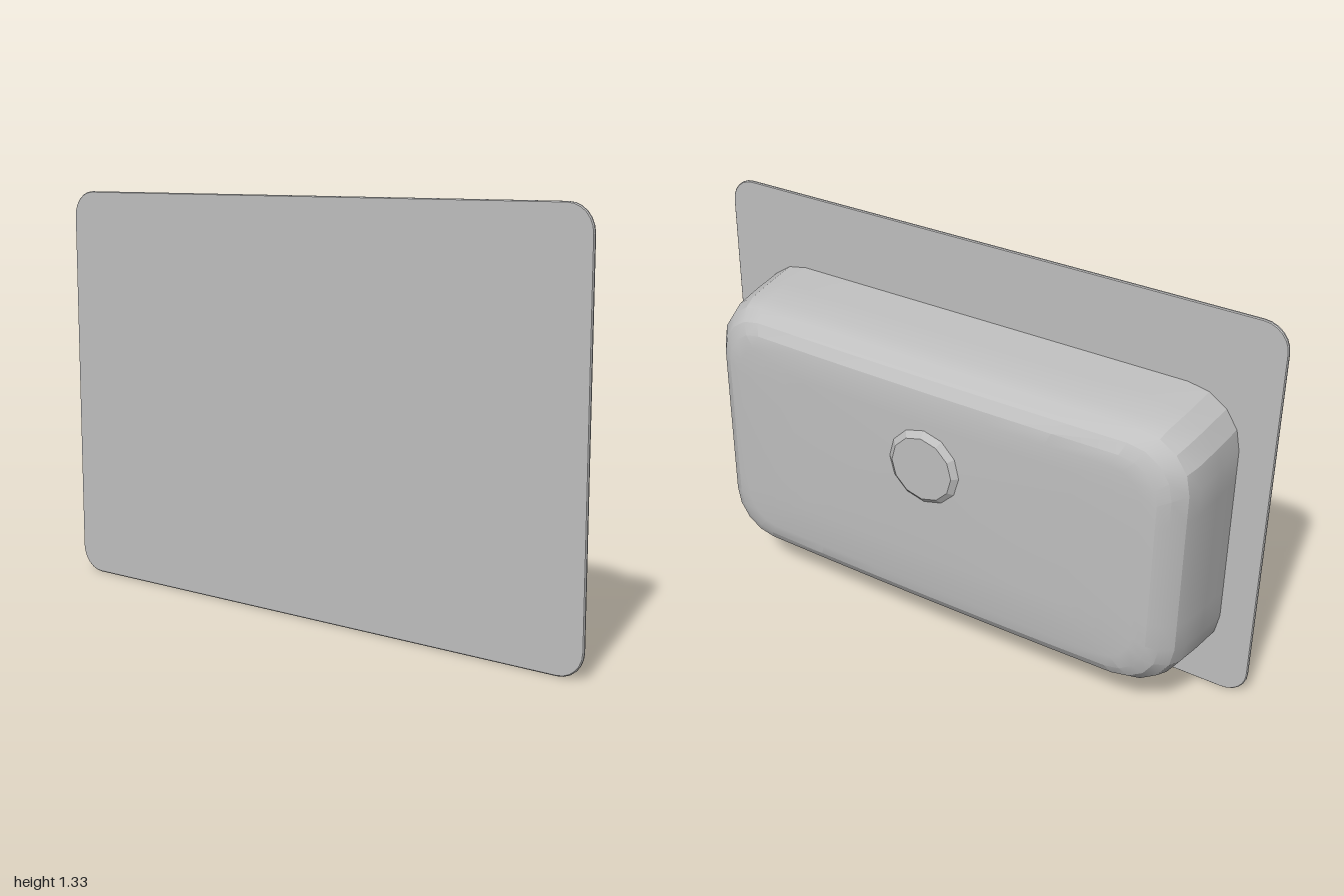
import * as THREE from 'three';
import { toCreasedNormals } from 'three/addons/utils/BufferGeometryUtils.js';

const steel = new THREE.MeshStandardMaterial({ color: 0xbfbfbf });
steel.name = 'steel';

const CY = 0.585;      // basin centre height
const DRAIN_Y = 0.71;  // drain centre height

// Points of a rounded rectangle, counter-clockwise, centred on the origin
function roundedRect(hw, hh, r, cornerSteps = 4, edgeSteps = 6) {
  const corners = [[1, -1], [1, 1], [-1, 1], [-1, -1]];
  const pts = [];
  corners.forEach(([sx, sy], k) => {
    for (let i = 0; i <= cornerSteps; i++) {
      const a = (k - 1 + i / cornerSteps) * Math.PI / 2;
      pts.push([sx * (hw - r) + r * Math.cos(a), sy * (hh - r) + r * Math.sin(a)]);
    }
    // points along the straight edge, so that it can bow
    const [nx, ny] = corners[(k + 1) % 4];
    const [px, py] = pts[pts.length - 1];
    const a = k * Math.PI / 2;
    const qx = nx * (hw - r) + r * Math.cos(a), qy = ny * (hh - r) + r * Math.sin(a);
    for (let i = 1; i < edgeSteps; i++) {
      const t = i / edgeSteps;
      pts.push([px + (qx - px) * t, py + (qy - py) * t]);
    }
  });
  return pts;
}

// Basin shell: rounded rectangles lofted backwards, then drawn in to the drain
function basinGeometry() {
  // z, half width, half height, corner radius, bow amount
  const sections = [
    [0.176, 0.887, 0.486, 0.18, 0],
    [0.06, 0.88, 0.476, 0.18, 0.3],
    [-0.04, 0.87, 0.466, 0.18, 0.7],
    [-0.085, 0.855, 0.45, 0.17, 0.8],
    [-0.125, 0.82, 0.42, 0.15, 0.9],
    [-0.144, 0.785, 0.385, 0.13, 1],
    [-0.15, 0.74, 0.345, 0.11, 1],
  ];
  const bowed = (x, y, z, amount) =>
    z - 0.022 * amount * (1 - (x / 0.9) ** 2) * (1 - 0.5 * ((y - CY) / 0.49) ** 2);
  const rings = sections.map(([z, hw, hh, r, bow]) =>
    roundedRect(hw, hh, r).map(([x, y]) => [x, y + CY, bowed(x, y + CY, z, bow)]));
  const rim = rings[rings.length - 1];
  for (const s of [0.7, 0.4, 0.1]) {
    rings.push(rim.map(([x, y]) => {
      const px = x * s, py = DRAIN_Y + (y - DRAIN_Y) * s;
      return [px, py, bowed(px, py, -0.15, 1)];
    }));
  }
  const n = rim.length, index = [];
  for (let i = 0; i < rings.length - 1; i++) {
    for (let j = 0; j < n; j++) {
      const a = i * n + j, b = i * n + (j + 1) % n;
      index.push(a, a + n, b, b, a + n, b + n);
    }
  }
  const g = new THREE.BufferGeometry();
  g.setAttribute('position', new THREE.Float32BufferAttribute(rings.flat(2), 3));
  g.setIndex(index);
  return toCreasedNormals(g, 0.35);
}

// Flat plate with rounded corners and a fine bevelled edge
function plateGeometry(hw, hh, r, depth, bevel) {
  const shape = new THREE.Shape(
    roundedRect(hw - bevel, hh - bevel, r - bevel, 6, 1).map(([x, y]) => new THREE.Vector2(x, y)));
  return new THREE.ExtrudeGeometry(shape, {
    depth: depth - 2 * bevel, bevelThickness: bevel, bevelSize: bevel, bevelSegments: 1,
  }).translate(0, 0, bevel);
}

export function createModel() {
  const model = new THREE.Group();
  model.name = 'basin';
  const add = (name, geometry, x, y, z) => {
    const mesh = new THREE.Mesh(geometry, steel);
    mesh.name = name;
    mesh.position.set(x, y, z);
    model.add(mesh);
    return mesh;
  };

  // Closed front plate, overhanging the basin all round
  add('frontPlate', plateGeometry(1, 0.665, 0.085, 0.011, 0.003), 0, 0.667, 0.175);
  // Bowl behind the plate
  add('bowl', basinGeometry(), 0, 0, 0);
  // Shallow tapered drain boss on the back
  const drain = toCreasedNormals(new THREE.CylinderGeometry(0.11, 0.14, 0.024, 12).rotateX(-Math.PI / 2), 0.3);
  add('drain', drain, 0, DRAIN_Y, -0.174);
  return model;
}
